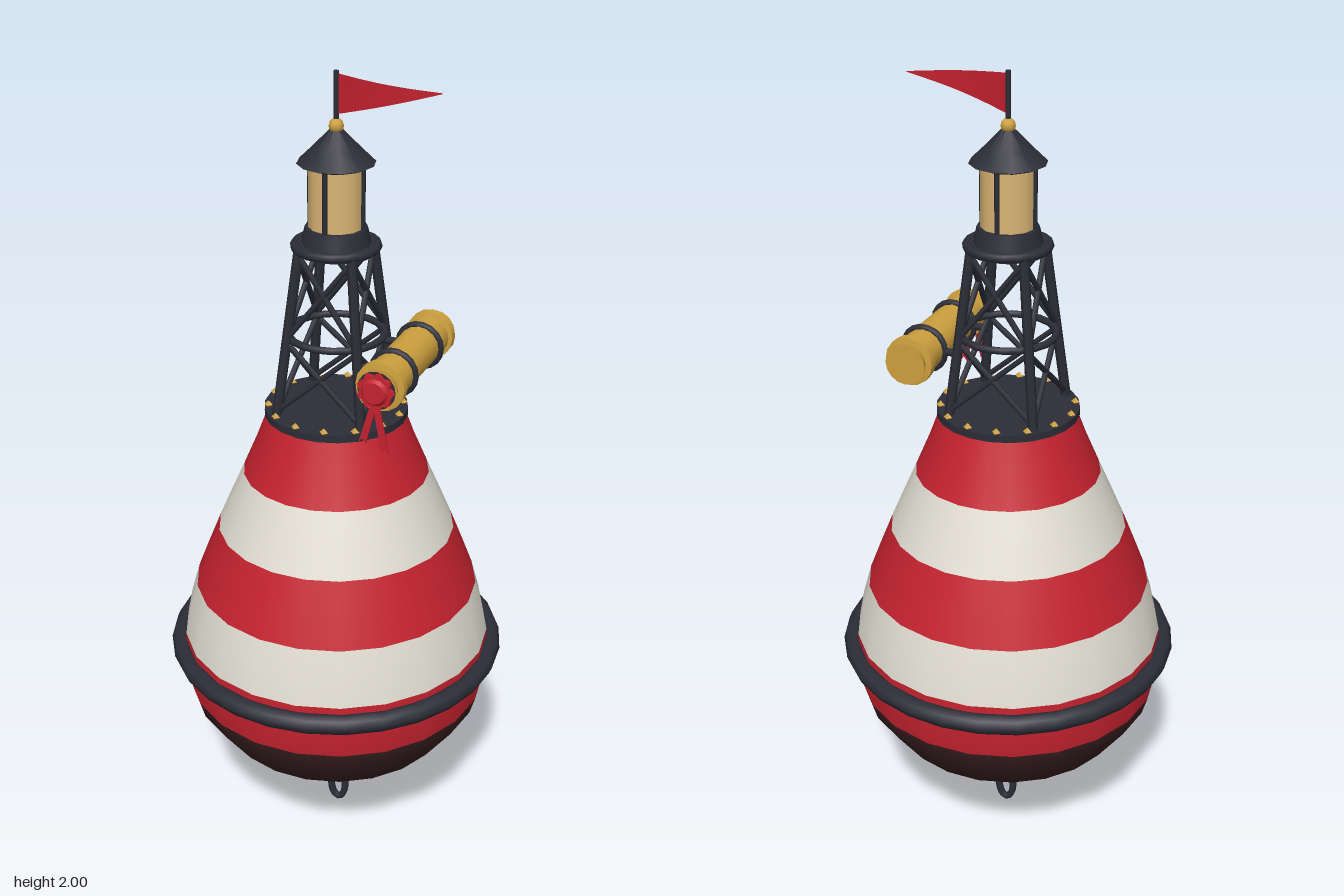
import * as THREE from 'three';
import { toCreasedNormals } from 'three/addons/utils/BufferGeometryUtils.js';

const flat = (name, color, side = THREE.FrontSide) => {
  const m = new THREE.MeshStandardMaterial({ color, side });
  m.name = name;
  return m;
};

export function createModel() {
  const red = flat('signal red', 0xc4222e);
  const white = flat('off white', 0xe2ded3);
  const brown = flat('antifouling brown', 0x3a2022);
  const iron = flat('dark iron', 0x2c2d37);
  const brass = flat('brass', 0xcda03e);
  const glass = flat('lamp glass', 0xdcb675);
  const cloth = flat('red cloth', 0xc0202c, THREE.DoubleSide);

  const model = new THREE.Group();
  model.name = 'buoy';

  const add = (name, geo, mat, x = 0, y = 0, z = 0, parent = model) => {
    const mesh = new THREE.Mesh(geo, mat);
    mesh.name = name;
    mesh.position.set(x, y, z);
    parent.add(mesh);
    return mesh;
  };
  const group = (name) => {
    const g = new THREE.Group();
    g.name = name;
    model.add(g);
    return g;
  };
  const lathe = (pts, sides, crease = 0) => {
    const g = new THREE.LatheGeometry(pts.map(([r, y]) => new THREE.Vector2(r, y)), sides, Math.PI / 2);
    return crease ? toCreasedNormals(g, crease) : g;
  };
  // round bar between two points
  const bar = (name, a, b, r, parent, sides = 6) => {
    const from = new THREE.Vector3(...a), to = new THREE.Vector3(...b);
    const dir = to.clone().sub(from);
    const mesh = add(name, new THREE.CylinderGeometry(r, r, dir.length(), sides), iron, 0, 0, 0, parent);
    mesh.position.copy(from).add(to).multiplyScalar(0.5);
    mesh.quaternion.setFromUnitVectors(new THREE.Vector3(0, 1, 0), dir.normalize());
  };
  const hoop = (name, R, r, y, sides, parent = model) => {
    const mesh = add(name, new THREE.TorusGeometry(R, r, 8, sides), iron, 0, y, 0, parent);
    mesh.rotation.x = Math.PI / 2;
  };

  // hull, one lathe per painted band
  const hull = group('hull');
  const bands = [
    ['hullBottom', brown, [[0, 0.225], [0.15, 0.23], [0.296, 0.293], [0.37, 0.395], [0.383, 0.44]]],
    ['waterlineBand', red, [[0.383, 0.44], [0.392, 0.51], [0.387, 0.585]]],
    ['lowerWhiteBand', white, [[0.387, 0.585], [0.374, 0.65], [0.353, 0.725]]],
    ['middleRedBand', red, [[0.353, 0.725], [0.324, 0.8], [0.292, 0.88]]],
    ['upperWhiteBand', white, [[0.292, 0.88], [0.26, 0.955], [0.227, 1.03]]],
    ['topRedBand', red, [[0.227, 1.03], [0.193, 1.11], [0.163, 1.19]]],
  ];
  for (const [name, mat, pts] of bands) add(name, lathe(pts, 22), mat, 0, 0, 0, hull);
  hoop('fender', 0.398, 0.025, 0.547, 28);

  // deck plate with bolts
  add('deck', lathe([[0, 1.182], [0.173, 1.182], [0.173, 1.2], [0, 1.2]], 22, 0.6), iron);
  const bolts = group('deckBolts');
  for (let i = 0; i < 14; i++) {
    const a = (i / 14) * Math.PI * 2;
    add('bolt', new THREE.OctahedronGeometry(0.011), brass, -Math.cos(a) * 0.162, 1.203, Math.sin(a) * 0.162, bolts);
  }

  // lattice tower: legs and crossed braces on four sides
  const tower = group('tower');
  const half = (y) => 0.107 - (y - 1.2) * 0.105;
  const corner = (i, y) => {
    const a = Math.PI / 4 + (i * Math.PI) / 2, r = half(y) * Math.SQRT2;
    return [Math.cos(a) * r, y, Math.sin(a) * r];
  };
  for (let i = 0; i < 4; i++) {
    bar('towerLeg', corner(i, 1.195), corner(i, 1.6), 0.012, tower);
    for (const [lo, hi] of [[1.21, 1.38], [1.39, 1.59]]) {
      bar('brace', corner(i, lo), corner(i + 1, hi), 0.007, tower);
      bar('brace', corner(i + 1, lo), corner(i, hi), 0.007, tower);
    }
  }
  hoop('towerHoop', 0.114, 0.009, 1.387, 20, tower);

  // lantern
  const lantern = group('lantern');
  add('galleryPlate', lathe([[0, 1.59], [0.095, 1.59], [0.095, 1.61], [0, 1.61]], 16, 0.6), iron, 0, 0, 0, lantern);
  hoop('galleryRim', 0.095, 0.011, 1.603, 20, lantern);
  add('lampBase', new THREE.CylinderGeometry(0.072, 0.081, 0.04, 16), iron, 0, 1.628, 0, lantern);
  add('lampGlass', new THREE.CylinderGeometry(0.064, 0.064, 0.16, 12, 1, true), glass, 0, 1.72, 0, lantern);
  for (let i = 0; i < 4; i++) {
    const x = Math.round(Math.cos(i * Math.PI / 2)) * 0.065, z = Math.round(Math.sin(i * Math.PI / 2)) * 0.065;
    bar('lampPost', [x, 1.64, z], [x, 1.8, z], 0.006, lantern);
  }
  add('lampRoof', lathe([[0, 1.788], [0.07, 1.788], [0.09, 1.796], [0.055, 1.83], [0.016, 1.87], [0, 1.87]], 12, 0.7), iron, 0, 0, 0, lantern);
  add('finial', new THREE.SphereGeometry(0.018, 8, 6), brass, 0, 1.878, 0, lantern);

  // pole and waving pennant
  bar('flagPole', [0, 1.87, 0], [0, 2, 0], 0.006, model);
  const pennant = new THREE.PlaneGeometry(1, 1, 10, 1);
  const p = pennant.attributes.position;
  for (let i = 0; i < p.count; i++) {
    const t = p.getX(i) + 0.5, top = p.getY(i) > 0;
    p.setXYZ(i, 0.004 + 0.241 * t, top ? 1.994 - 0.019 * t : 1.905 + 0.068 * t, 0.016 * Math.sin(Math.PI * t));
  }
  pennant.computeVertexNormals();
  add('pennant', pennant, cloth);

  // brass tube held beside the tower, its axis along z
  const tube = group('sideTube');
  tube.position.set(0.178, 1.35, 0);
  const tubeHalf = [[0.05, 0.147], [0.059, 0.149], [0.059, 0.17], [0.044, 0.172], [0.05, 0.19], [0, 0.19]];
  const profile = [...tubeHalf.map(([r, y]) => [r, -y]).reverse(), ...tubeHalf];
  add('tubeBody', lathe(profile, 16, 0.6), brass, 0, 0, 0, tube).rotation.x = Math.PI / 2;
  add('tubeMouth', new THREE.CircleGeometry(0.046, 16), iron, 0, 0, 0.191, tube);
  for (const z of [-0.084, 0.084]) {
    add('strap', new THREE.TorusGeometry(0.053, 0.008, 6, 18), iron, 0, 0, z, tube);
    bar('strapArm', [-0.092, 0, z], [-0.05, 0, z], 0.009, tube);
  }

  // wax seal with lumpy rim, and two ribbon tails
  const rim = new THREE.Shape();
  for (let i = 0; i < 36; i++) {
    const a = (i / 36) * Math.PI * 2, r = 0.041 + 0.004 * Math.cos(9 * a);
    if (i) rim.lineTo(Math.cos(a) * r, Math.sin(a) * r);
    else rim.moveTo(r, 0);
  }
  add('waxSeal', new THREE.ExtrudeGeometry(rim, { depth: 0.012, bevelEnabled: false }), red, 0, 0, 0.19, tube);
  add('sealBoss', new THREE.CylinderGeometry(0.026, 0.033, 0.009, 14), red, 0, 0, 0.206, tube).rotation.x = Math.PI / 2;
  for (const [x, y] of [[-0.03, -0.132], [0.026, -0.15]]) {
    const tail = new THREE.Shape([[-0.007, -0.02], [x - 0.009, y], [x, y + 0.012], [x + 0.009, y], [0.007, -0.02]]
      .map(([u, v]) => new THREE.Vector2(u, v)));
    add('ribbonTail', new THREE.ExtrudeGeometry(tail, { depth: 0.005, bevelEnabled: false }), red, 0, 0, 0.195, tube);
  }

  // mooring chain
  const chain = group('mooringChain');
  const links = [[0, 0.196, 0.03, 0.03, 0], [0, 0.118, 0.018, 0.046, Math.PI / 2], [0.006, 0.053, 0.02, 0.043, 0]];
  for (const [x, y, w, h, turn] of links) {
    const pts = Array.from({ length: 16 }, (_, i) => {
      const a = (i / 16) * Math.PI * 2;
      return new THREE.Vector3(Math.cos(a) * w, Math.sin(a) * h, 0);
    });
    const loop = new THREE.CatmullRomCurve3(pts, true);
    add('chainLink', new THREE.TubeGeometry(loop, 20, 0.0095, 6, true), iron, x, y, 0, chain).rotation.y = turn;
  }

  return model;
}
